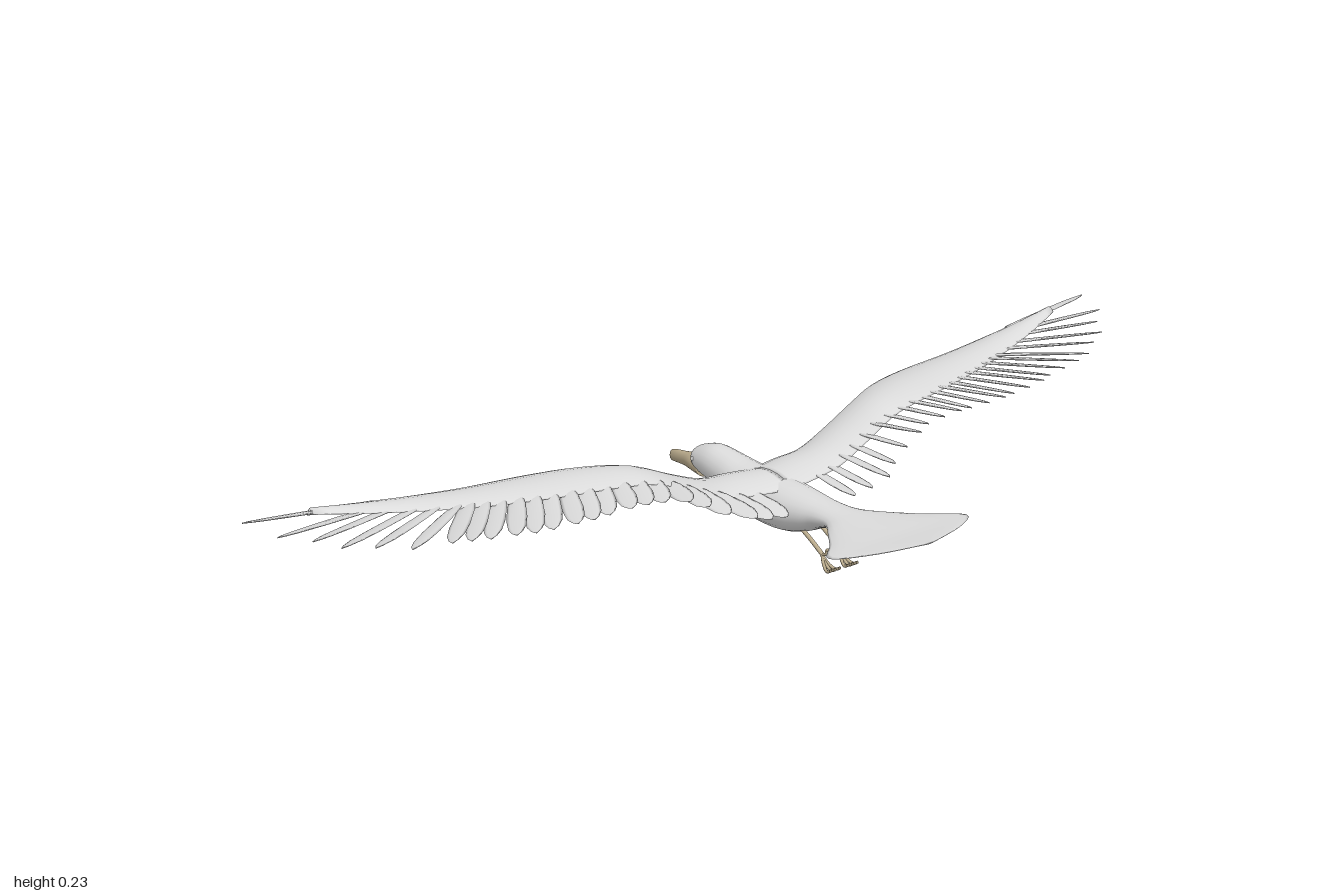
import * as THREE from 'three';

const plumage = new THREE.MeshStandardMaterial({ color: 0xdcdcdc, side: THREE.DoubleSide });
plumage.name = 'pale plumage';
const horn = new THREE.MeshStandardMaterial({ color: 0xbcad8e, side: THREE.DoubleSide });
horn.name = 'tan horn';

// Catmull-Rom smoothing of a list of number tuples
function smooth(list, steps) {
  const out = [], at = i => list[Math.max(0, Math.min(list.length - 1, i))];
  for (let i = 0; i < list.length - 1; i++) {
    for (let k = 0; k < steps; k++) {
      const t = k / steps, [a, b, c, d] = [at(i - 1), at(i), at(i + 1), at(i + 2)];
      out.push(b.map((q, n) => 0.5 * (2 * q + (c[n] - a[n]) * t
        + (2 * a[n] - 5 * q + 4 * c[n] - d[n]) * t * t
        + (3 * q - a[n] - 3 * c[n] + d[n]) * t * t * t)));
    }
  }
  out.push(list[list.length - 1]);
  return out;
}

// Linear lookup by the first number of each tuple
function lookup(list, x) {
  let i = 0;
  while (i < list.length - 2 && list[i + 1][0] < x) i++;
  const a = list[i], b = list[i + 1];
  const t = Math.max(0, Math.min(1, (x - a[0]) / (b[0] - a[0])));
  return a.map((q, n) => q + (b[n] - q) * t);
}

// Closed skin through rings of [x, y, z]; side -1 mirrors in x
function loft(name, rings, material, side = 1) {
  const m = rings[0].length, pos = [], idx = [];
  const tri = (a, b, c) => (side > 0 ? idx.push(a, b, c) : idx.push(a, c, b));
  rings.forEach(r => r.forEach(([x, y, z]) => pos.push(x * side, y, z)));
  for (let i = 0; i < rings.length - 1; i++) {
    for (let j = 0; j < m; j++) {
      const a = i * m + j, b = i * m + (j + 1) % m;
      tri(a, b, a + m);
      tri(b, b + m, a + m);
    }
  }
  const last = (rings.length - 1) * m;
  for (let j = 1; j < m - 1; j++) {
    tri(0, j + 1, j);
    tri(last, last + j, last + j + 1);
  }
  const g = new THREE.BufferGeometry();
  g.setAttribute('position', new THREE.Float32BufferAttribute(pos, 3));
  g.setIndex(idx);
  g.computeVertexNormals();
  const mesh = new THREE.Mesh(g, material);
  mesh.name = name;
  return mesh;
}

const angles = n => Array.from({ length: n }, (_, j) => (j / n) * Math.PI * 2);

// Oval sections [z, half width, top, bottom] running along z
function ovalLoft(name, stations, material) {
  return loft(name, smooth(stations, 4).map(([z, w, top, bottom]) => angles(20).map(a =>
    [Math.cos(a) * w, (top + bottom) / 2 + Math.sin(a) * (top - bottom) / 2, z])), material);
}

// Wing sections: x, leading z, trailing z, height, thickness
const wingStations = smooth([
  [0.0, -0.14, 0.0, 0.105, 0.03],
  [0.06, -0.155, -0.01, 0.106, 0.028],
  [0.13, -0.155, -0.02, 0.113, 0.024],
  [0.2, -0.162, -0.03, 0.138, 0.022],
  [0.28, -0.172, -0.04, 0.172, 0.02],
  [0.36, -0.205, -0.055, 0.181, 0.018],
  [0.46, -0.232, -0.08, 0.182, 0.016],
  [0.6, -0.245, -0.12, 0.186, 0.014],
  [0.75, -0.253, -0.17, 0.198, 0.011],
  [0.88, -0.257, -0.225, 0.21, 0.007],
], 4);
const rise = 0.012; // trailing edge sits a little above the leading edge

// One flat, round-ended feather from root to tip
function feather(root, tip, width, side) {
  const r = new THREE.Vector3(...root), d = new THREE.Vector3(...tip).sub(r);
  const len = Math.hypot(d.x, d.z), vx = -d.z / len, vz = d.x / len;
  const shape = [[0, 0.6], [0.25, 0.9], [0.6, 1], [0.82, 0.85], [0.94, 0.5], [1, 0.08]];
  const rings = shape.map(([t, w]) => angles(8).map(a => {
    const v = -Math.cos(a) * w * width / 2;
    return [r.x + d.x * t + vx * v,
      r.y + d.y * t + Math.sin(a) * 0.004 * (1 - 0.7 * t) + v * 0.25,
      r.z + d.z * t + vz * v];
  }));
  return loft('feather', rings, plumage, side);
}

function wing(side) {
  const group = new THREE.Group();
  group.name = side > 0 ? 'leftWing' : 'rightWing';
  // cambered arm of the wing
  group.add(loft('wingArm', wingStations.map(([x, z0, z1, y, th]) => angles(20).map(a => {
    const c = (1 - Math.cos(a)) / 2;
    return [x, y + rise * c + 0.012 * Math.sin(Math.PI * c) + Math.sin(a) * th * 0.5 * (1 - 0.6 * c),
      z0 + (z1 - z0) * c];
  })), plumage, side));

  // trailing feathers: tip line [x, z] and how far outward each one sweeps
  const tipLine = [
    [0.08, 0.09, -0.005], [0.16, 0.085, 0], [0.24, 0.05, 0.02], [0.32, 0.03, 0.04],
    [0.4, 0.025, 0.05], [0.48, 0.028, 0.065], [0.58, 0.02, 0.085], [0.68, 0.0, 0.11], [0.74, -0.01, 0.13],
  ];
  const count = 18;
  for (let i = 0; i < count; i++) {
    const [x, z, sweep] = lookup(tipLine, 0.08 + (0.66 * i) / (count - 1));
    const base = lookup(wingStations, x - sweep);
    const jag = (i % 3 - 1) * 0.007;
    group.add(feather([x - sweep, base[3] + rise, base[2] - 0.035],
      [x, lookup(wingStations, x)[3] + rise - 0.006 + jag * 0.5, z + jag], 0.037, side));
  }

  // spread wing-tip feathers: root x, root z, tip x, tip y, tip z
  [
    [0.64, -0.15, 0.80, 0.200, -0.035], [0.67, -0.165, 0.85, 0.203, -0.073],
    [0.70, -0.18, 0.90, 0.207, -0.1], [0.73, -0.2, 0.93, 0.212, -0.145],
    [0.75, -0.215, 0.975, 0.218, -0.185], [0.76, -0.235, 1.0, 0.225, -0.264],
  ].forEach(([rx, rz, x, y, z]) => {
    const base = lookup(wingStations, rx);
    group.add(feather([rx, base[3] + rise, rz], [x, y, z], 0.034, side));
  });
  return group;
}

function tube(name, points, radius) {
  const curve = new THREE.CatmullRomCurve3(points.map(p => new THREE.Vector3(...p)));
  const mesh = new THREE.Mesh(new THREE.TubeGeometry(curve, 12, radius, 8), horn);
  mesh.name = name;
  return mesh;
}

// Trailing leg with curled toes
function leg(side) {
  const group = new THREE.Group(), x = 0.021 * side;
  group.name = side > 0 ? 'leftLeg' : 'rightLeg';
  group.add(tube('shank', [[x, 0.062, 0.045], [x, 0.045, 0.08], [x, 0.027, 0.113]], 0.0042));
  for (const k of [-1, 0, 1]) {
    group.add(tube('toe', [[x, 0.027, 0.111], [x + k * 0.005, 0.012, 0.122],
      [x + k * 0.01, 0.004, 0.138], [x + k * 0.011, 0.01, 0.15]], 0.003));
  }
  group.add(tube('hindToe', [[x, 0.027, 0.111], [x, 0.032, 0.123], [x, 0.041, 0.126], [x, 0.042, 0.134]], 0.003));
  return group;
}

export function createModel() {
  const bird = new THREE.Group();
  bird.name = 'flyingSeabird';

  // head, body and fanned tail in one skin
  bird.add(ovalLoft('body', [
    [-0.303, 0.006, 0.103, 0.092],
    [-0.297, 0.02, 0.112, 0.082],
    [-0.28, 0.03, 0.122, 0.068],
    [-0.24, 0.037, 0.134, 0.059],
    [-0.19, 0.042, 0.132, 0.049],
    [-0.14, 0.05, 0.128, 0.036],
    [-0.07, 0.055, 0.128, 0.03],
    [0.0, 0.053, 0.128, 0.034],
    [0.057, 0.045, 0.126, 0.052],
    [0.1, 0.039, 0.124, 0.073],
    [0.15, 0.045, 0.123, 0.09],
    [0.2, 0.08, 0.124, 0.1],
    [0.25, 0.117, 0.126, 0.109],
    [0.305, 0.162, 0.129, 0.118],
    [0.355, 0.1, 0.135, 0.129],
    [0.386, 0.01, 0.139, 0.136],
  ], plumage));

  // beak with a drooping hook
  bird.add(ovalLoft('beak', [
    [-0.391, 0.002, 0.07, 0.061],
    [-0.386, 0.006, 0.078, 0.055],
    [-0.37, 0.008, 0.083, 0.056],
    [-0.34, 0.011, 0.088, 0.058],
    [-0.305, 0.021, 0.095, 0.058],
    [-0.265, 0.03, 0.096, 0.059],
  ], horn));

  for (const side of [1, -1]) {
    bird.add(wing(side), leg(side));
    const eye = new THREE.Mesh(new THREE.SphereGeometry(0.005, 12, 8), plumage);
    eye.name = 'eye';
    eye.position.set(0.028 * side, 0.098, -0.279);
    bird.add(eye);
  }
  return bird;
}
